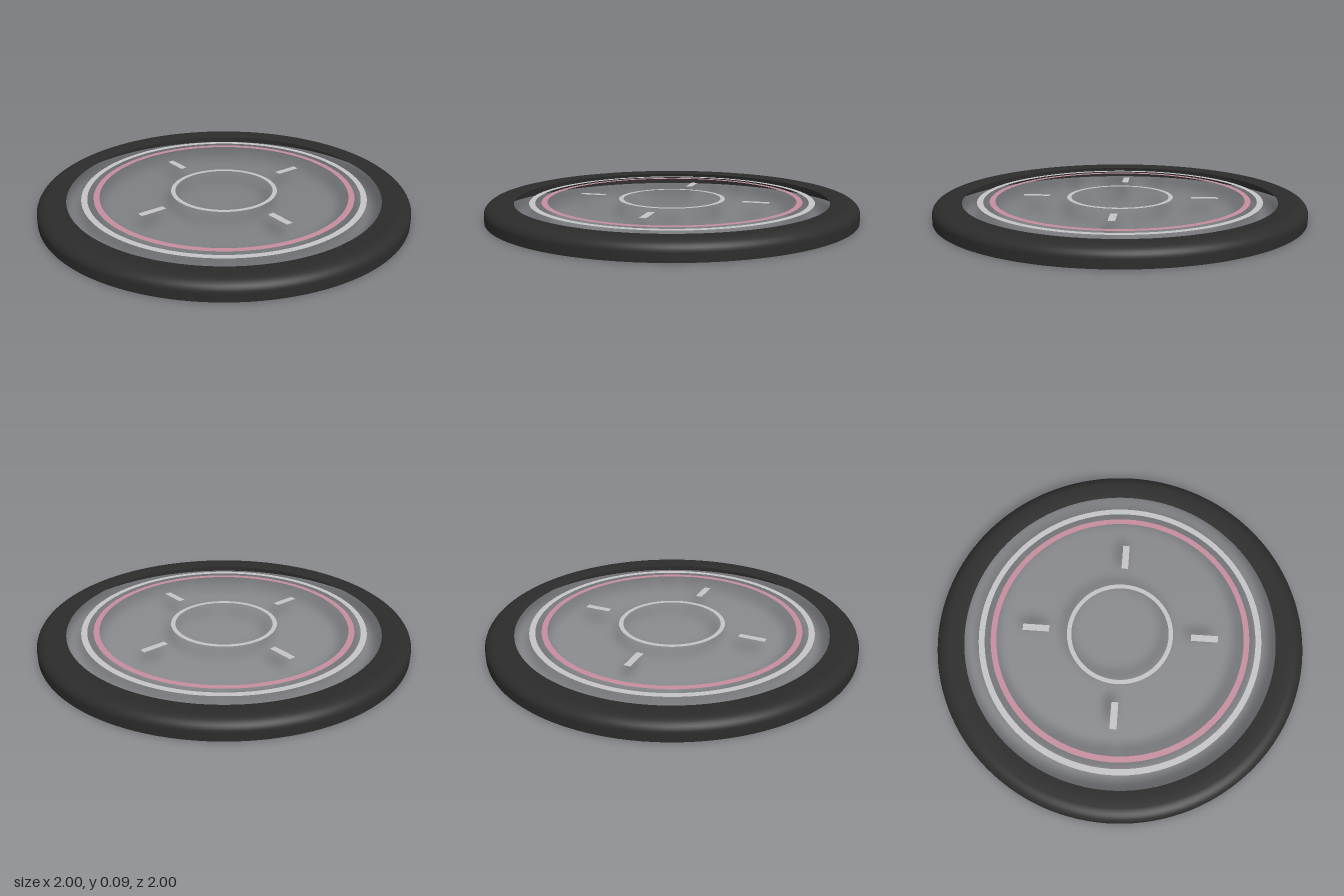
import * as THREE from 'three';

const mat = (name, color) => {
  const m = new THREE.MeshStandardMaterial({ color, side: THREE.DoubleSide });
  m.name = name;
  return m;
};

export function createModel() {
  const group = new THREE.Group();
  const black = mat('black rubber', 0x2c2c2c);
  const silver = mat('silver', 0xc6c6ca);
  const pink = mat('dusty pink', 0xc78fa0);
  const markY = 0.081;

  const add = (name, geometry, material, y = 0) => {
    const mesh = new THREE.Mesh(geometry, material);
    mesh.name = name;
    mesh.position.y = y;
    group.add(mesh);
    return mesh;
  };

  // Open rim shell: upright side, rounded shoulder, nearly flat top
  const top = 0.093, a = 0.065, b = 0.05;
  const profile = [new THREE.Vector2(1, 0)];
  for (let i = 0; i <= 8; i++) {
    const t = (i / 8) * Math.PI / 2;
    profile.push(new THREE.Vector2(1 - a + a * Math.cos(t), top - b + b * Math.sin(t)));
  }
  profile.push(new THREE.Vector2(0.89, 0.091), new THREE.Vector2(0.847, 0.085));
  add('outerRim', new THREE.LatheGeometry(profile, 128), black);

  // Flat concentric rings
  const ring = (name, inner, outer, material) =>
    add(name, new THREE.RingGeometry(inner, outer, 96).rotateX(-Math.PI / 2), material, markY);
  ring('outerSilverRing', 0.738, 0.77, silver);
  ring('pinkRing', 0.674, 0.705, pink);
  ring('centreRing', 0.266, 0.29, silver);

  // Four diagonal tick marks
  for (let i = 0; i < 4; i++) {
    const angle = Math.PI / 4 + i * Math.PI / 2;
    const tick = add('tickMark', new THREE.PlaneGeometry(0.145, 0.037).rotateX(-Math.PI / 2), silver, markY);
    tick.position.x = 0.461 * Math.cos(angle);
    tick.position.z = -0.461 * Math.sin(angle);
    tick.rotation.y = angle;
  }
  return group;
}
